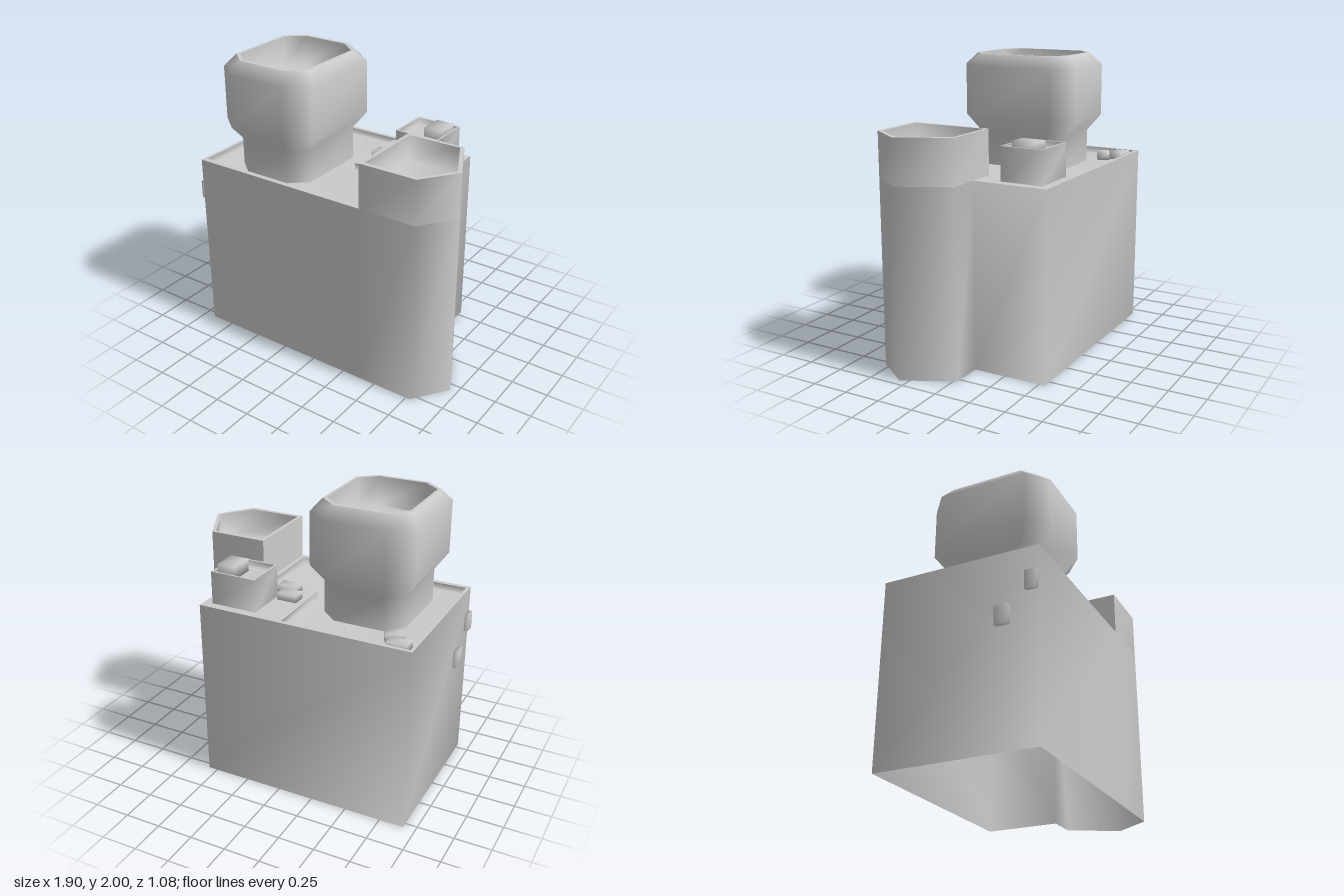
import * as THREE from 'three';
import { mergeGeometries, mergeVertices } from 'three/addons/utils/BufferGeometryUtils.js';

const material = new THREE.MeshStandardMaterial({ color: 0xcccccc, side: THREE.DoubleSide });

// Shared corners give the soft shading across edges
function smooth(geometry) {
  geometry.deleteAttribute('normal');
  geometry.deleteAttribute('uv');
  const merged = mergeVertices(geometry);
  merged.computeVertexNormals();
  return merged;
}

// Skin through [outline, y] rings; outlines are lists of [x, z]
function loft(rings, closed = true) {
  const n = rings[0][0].length;
  const positions = [], index = [];
  for (const [outline, y] of rings) for (const [x, z] of outline) positions.push(x, y, z);
  for (let r = 0; r < rings.length - 1; r++) {
    for (let i = 0; i < (closed ? n : n - 1); i++) {
      const a = r * n + i, b = r * n + (i + 1) % n;
      index.push(a, b, b + n, a, b + n, a + n);
    }
  }
  const geometry = new THREE.BufferGeometry();
  geometry.setAttribute('position', new THREE.Float32BufferAttribute(positions, 3));
  geometry.setIndex(index);
  geometry.computeVertexNormals();
  return geometry;
}

// Flat horizontal face, with an optional hole
function plate(outline, y, hole) {
  const toPoints = (list) => list.map(([x, z]) => new THREE.Vector2(x, -z));
  const shape = new THREE.Shape(toPoints(outline));
  if (hole) shape.holes.push(new THREE.Path(toPoints(hole)));
  return new THREE.ShapeGeometry(shape).rotateX(-Math.PI / 2).translate(0, y, 0);
}

const rect = (x0, x1, z0, z1) => [[x0, z1], [x1, z1], [x1, z0], [x0, z0]];

// Octagon of the rooftop tower
function octagon(hx, hz) {
  const ix = hx * 0.59, iz = hz * 0.71;
  return [[ix, hz], [hx, iz], [hx, -iz], [ix, -hz], [-ix, -hz], [-hx, -iz], [-hx, iz], [-ix, hz]]
    .map(([x, z]) => [x - 0.44, z + 0.08]);
}

export function createModel() {
  const model = new THREE.Group();

  function add(name, geometry) {
    const mesh = new THREE.Mesh(geometry, material);
    mesh.name = name;
    model.add(mesh);
    return mesh;
  }

  // Rim, inner walls and sunken floor
  function basin(name, outline, hole, topY, floorY) {
    add(name + 'Rim', plate(outline, topY, hole));
    const floor = plate(hole, floorY);
    floor.deleteAttribute('normal');
    floor.deleteAttribute('uv');
    const walls = loft([[hole, topY], [hole, floorY]]);
    walls.deleteAttribute('normal');
    add(name + 'Basin', smooth(mergeGeometries([walls, floor])));
  }

  function box(name, size, [x, y, z], turn = 0) {
    const mesh = add(name, smooth(new THREE.BoxGeometry(...size)));
    mesh.position.set(x, y, z);
    mesh.rotation.y = turn;
  }

  // Outer walls, open underneath
  const roofY = 1.275, bayY = 1.578;
  const bay = [[0.375, 0.542], [0.78, 0.542], [0.948, 0.31], [0.78, -0.028], [0.375, -0.028]];
  const back = [[0.565, -0.028], [0.565, -0.542], [-0.918, -0.542], [-0.918, 0.542]];
  add('outerWalls', loft([[[...bay.slice(0, 4), ...back], 0], [[...bay.slice(0, 4), ...back], roofY]]));

  // Main roof; the back left quarter is flush with the parapet top
  basin('roof', [bay[0], bay[4], ...back],
    [[-0.895, 0.507], [0.345, 0.507], [0.345, 0], [-0.025, 0], [-0.025, -0.515], [-0.895, -0.515]],
    roofY, 1.225);

  // Pointed bay rising above the roof
  add('bayWalls', loft([[bay, roofY], [bay, bayY]], false));
  const inner = [bay[4], bay[0]];
  add('bayInnerSide', loft([[inner, roofY], [inner, bayY]], false));
  basin('bay', bay,
    [[0.4, 0.512], [0.765, 0.512], [0.918, 0.308], [0.762, -0.005], [0.4, -0.005]], bayY, 1.4);

  // Roof hut
  const hut = rect(0.18, 0.503, -0.483, -0.187);
  add('hutWalls', loft([[hut, roofY], [hut, 1.5]]));
  basin('hut', hut, rect(0.194, 0.49, -0.47, -0.2), 1.5, 1.45);

  // Eight-sided rooftop tower, open at the top
  const profile = [
    [0.285, 0.345, 1.225], [0.285, 0.345, 1.45], [0.36, 0.43, 1.56], [0.36, 0.43, 1.92], [0.297, 0.352, 2],
  ];
  add('towerShell', loft(profile.map(([hx, hz, y]) => [octagon(hx, hz), y])));
  basin('tower', octagon(0.297, 0.352), octagon(0.278, 0.327), 2, 1.8);

  // Roof and wall air units
  box('roofUnit', [0.14, 0.05, 0.095], [-0.795, 1.254, -0.443]);
  box('roofUnit', [0.125, 0.05, 0.085], [-0.725, 1.254, -0.345], 0.45);
  box('roofUnit', [0.14, 0.05, 0.095], [0.087, 1.298, -0.19]);
  box('roofUnit', [0.14, 0.05, 0.095], [0.147, 1.298, -0.078]);
  box('hutUnit', [0.13, 0.085, 0.17], [0.421, 1.4925, -0.342]);
  box('wallUnit', [0.035, 0.125, 0.075], [-0.928, 1.04, 0.495]);
  box('wallUnit', [0.04, 0.125, 0.09], [-0.93, 0.845, 0.305]);

  return model;
}
